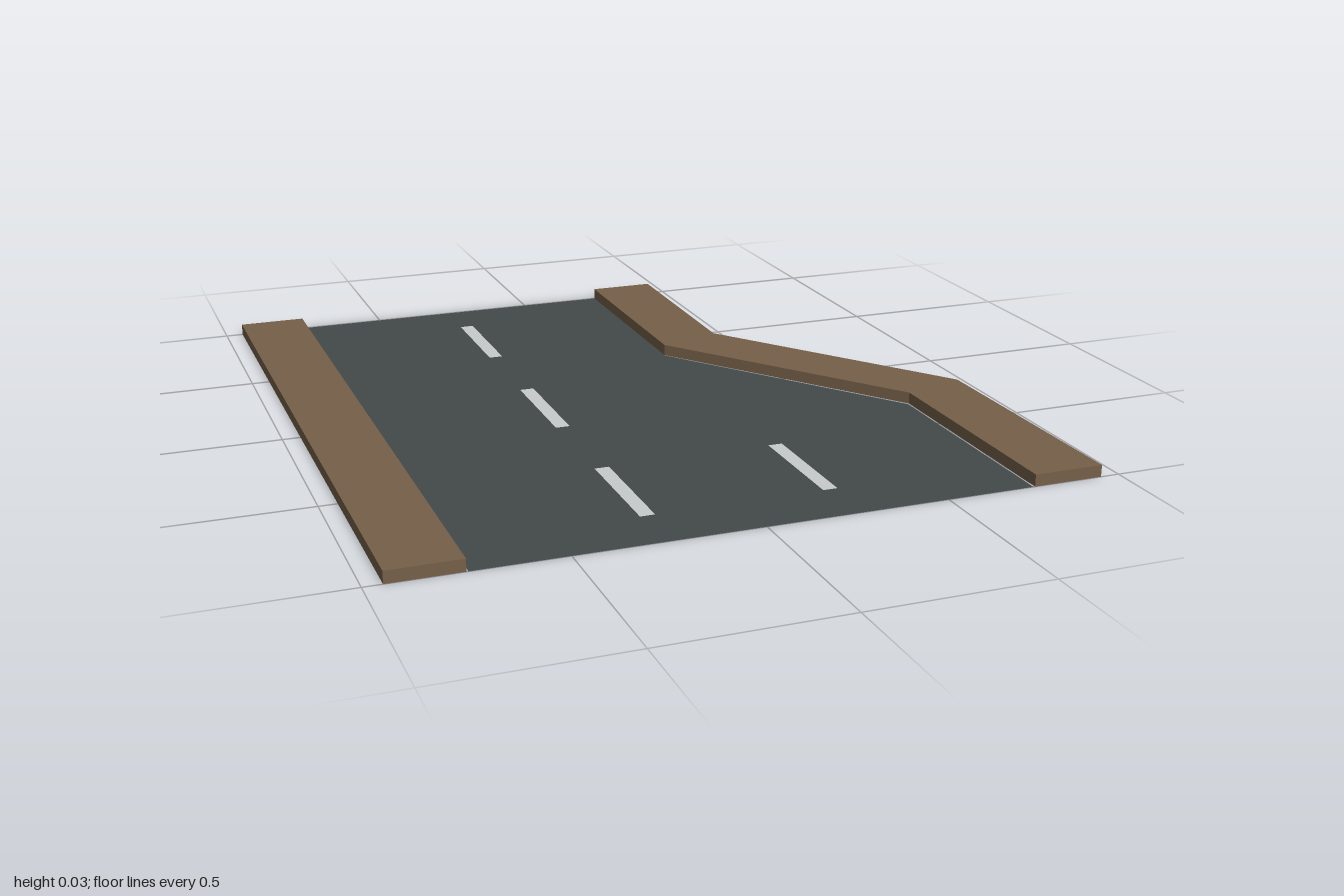
import * as THREE from 'three';

const KERB_HEIGHT = 0.033;

function material(name, color) {
  const m = new THREE.MeshStandardMaterial({ color, side: THREE.DoubleSide });
  m.name = name;
  return m;
}

// Open-bottomed kerb; each station is [low-x edge x, z, high-x edge x, z], back to front
function kerbGeometry(stations) {
  const sections = stations.map(([ax, az, bx, bz]) => [
    [ax, 0, az], [ax, KERB_HEIGHT, az], [bx, KERB_HEIGHT, bz], [bx, 0, bz],
  ]);
  const positions = [];
  const quad = (a, b, c, d) => positions.push(...a, ...b, ...c, ...a, ...c, ...d);

  for (let i = 0; i < sections.length - 1; i++) {
    const p = sections[i], q = sections[i + 1];
    for (let k = 0; k < 3; k++) quad(p[k], q[k], q[k + 1], p[k + 1]);
  }
  quad(...sections[0]);
  quad(...[...sections[sections.length - 1]].reverse());

  const geometry = new THREE.BufferGeometry();
  geometry.setAttribute('position', new THREE.Float32BufferAttribute(positions, 3));
  geometry.computeVertexNormals();
  return geometry;
}

export function createModel() {
  const group = new THREE.Group();
  group.name = 'narrowingRoad';

  const asphalt = material('asphalt', 0x434a4a);
  const kerbBrown = material('kerbBrown', 0x766049);
  const paint = material('roadPaint', 0xc8cccc);

  const add = (name, geometry, mat) => {
    const mesh = new THREE.Mesh(geometry, mat);
    mesh.name = name;
    group.add(mesh);
    return mesh;
  };

  // Road surface, three half-lanes wide at the front and two at the back
  const outline = [[-0.75, 1], [0.745, 1], [0.745, 0.33], [0.25, -0.33], [0.25, -1], [-0.75, -1]];
  const road = new THREE.ShapeGeometry(
    new THREE.Shape(outline.map(([x, z]) => new THREE.Vector2(x, -z))));
  road.rotateX(-Math.PI / 2);
  add('roadSurface', road, asphalt);

  // Straight kerb and bent kerb
  add('straightKerb', kerbGeometry([
    [-0.95, -1, -0.755, -1],
    [-0.95, 1, -0.755, 1],
  ]), kerbBrown);
  add('bentKerb', kerbGeometry([
    [0.25, -1, 0.445, -1],
    [0.25, -0.335, 0.44, -0.395],
    [0.75, 0.325, 0.938, 0.27],
    [0.75, 1, 0.947, 1],
  ]), kerbBrown);

  // Dashed lane markings
  for (const [x, z] of [[-0.25, -0.66], [-0.25, 0.003], [-0.25, 0.67], [0.248, 0.67]]) {
    const dash = new THREE.PlaneGeometry(0.04, 0.34).rotateX(-Math.PI / 2);
    add('laneDash', dash, paint).position.set(x, 0.002, z);
  }

  return group;
}
